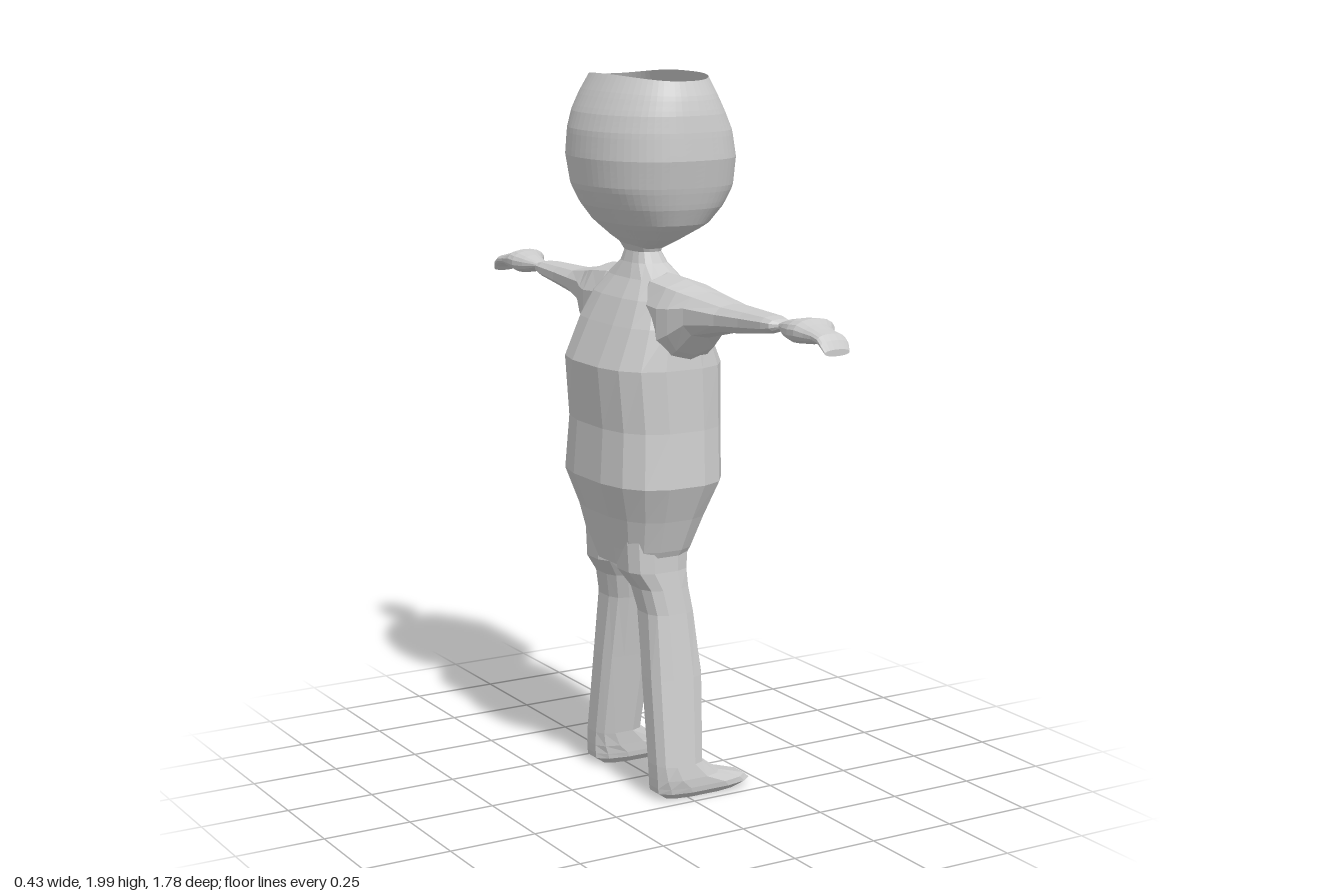
import * as THREE from 'three';

const grey = new THREE.MeshStandardMaterial({ color: 0xcccccc, flatShading: true });
const greyOpen = new THREE.MeshStandardMaterial({ color: 0xcccccc, flatShading: true, side: THREE.DoubleSide });

// signed power, used to square off an ellipse
const spow = (v, e) => Math.sign(v) * Math.pow(Math.abs(v), e);

function toGeometry(pos, index) {
  const g = new THREE.BufferGeometry();
  g.setAttribute('position', new THREE.Float32BufferAttribute(pos, 3));
  g.setIndex(index);
  g.computeVertexNormals();
  return g;
}

// Loft through rings [t, x0, x1, b0, b1], t ascending along the axis.
// Axis 'y': t = y, b = z. Axis 'z': t = z, b = y. side = -1 mirrors in z.
function loft(rings, { axis = 'y', sides = 12, e = 0.75, side = 1, capEnd = true }) {
  const pos = [], index = [];
  const put = (x, t, b) => (axis === 'y' ? pos.push(x, t, b * side) : pos.push(x, b, t * side));
  const flip = (axis === 'z') !== (side < 0);
  const tri = (a, b, c) => (flip ? index.push(a, c, b) : index.push(a, b, c));
  for (const [t, x0, x1, b0, b1] of rings) {
    for (let j = 0; j < sides; j++) {
      const a = ((j + 0.5) / sides) * Math.PI * 2;
      put((x0 + x1) / 2 + ((x1 - x0) / 2) * spow(Math.cos(a), e), t,
        (b0 + b1) / 2 + ((b1 - b0) / 2) * spow(Math.sin(a), e));
    }
  }
  const n = rings.length;
  for (let i = 0; i < n - 1; i++) {
    for (let j = 0; j < sides; j++) {
      const k = (j + 1) % sides;
      const a = i * sides + j, b = i * sides + k, c = b + sides, d = a + sides;
      tri(a, d, b);
      tri(b, d, c);
    }
  }
  // end caps as fans
  const cap = (i, top) => {
    const [t, x0, x1, b0, b1] = rings[i];
    const m = pos.length / 3;
    put((x0 + x1) / 2, t, (b0 + b1) / 2);
    for (let j = 0; j < sides; j++) {
      const a = i * sides + j, b = i * sides + ((j + 1) % sides);
      top ? tri(m, b, a) : tri(m, a, b);
    }
  };
  cap(0, false);
  if (capEnd) cap(n - 1, true);
  return toGeometry(pos, index);
}

// Open-topped shell with a rounded face opening towards +x
function headGeometry() {
  // y, back x, front x, half depth in z
  const rows = [
    [1.53, -0.06, 0.02, 0.065], [1.555, -0.09, 0.05, 0.12], [1.6, -0.14, 0.125, 0.185],
    [1.65, -0.18, 0.17, 0.21], [1.7, -0.207, 0.197, 0.225], [1.78, -0.218, 0.2, 0.242],
    [1.85, -0.212, 0.188, 0.238], [1.9, -0.197, 0.165, 0.232], [1.95, -0.172, 0.141, 0.22],
    [2.0, -0.143, 0.117, 0.2],
  ];
  const at = (y) => {
    let i = 0;
    while (i < rows.length - 2 && y > rows[i + 1][0]) i++;
    const f = (y - rows[i][0]) / (rows[i + 1][0] - rows[i][0]);
    return rows[i].map((v, k) => v + (rows[i + 1][k] - v) * f);
  };
  const eFront = 0.72, eBack = 0.92, holeY = 1.772, holeH = 0.083, holeW = 0.166;
  const cols = 64, steps = 32, pos = [], index = [], inside = [];
  for (let i = 0; i <= steps; i++) {
    for (let j = 0; j < cols; j++) {
      let y = 1.53 + (0.47 * i) / steps;
      let a = (j / cols) * Math.PI * 2;
      const front = Math.cos(a) > 1e-6;
      const z = at(y)[3] * spow(Math.sin(a), front ? eFront : eBack);
      const rho = Math.cbrt(Math.abs(z / holeW) ** 3 + Math.abs((y - holeY) / holeH) ** 3);
      const hit = front && rho < 1;
      inside.push(hit);
      if (hit) {
        // push points inside the opening out onto its rim
        const r = Math.max(rho, 0.05);
        y = holeY + (y - holeY) / r;
        const s = THREE.MathUtils.clamp(z / r / at(y)[3], -1, 1);
        a = Math.asin(spow(s, 1 / eFront));
      }
      const [, x0, x1, hz] = at(y), e = front ? eFront : eBack;
      const dip = 0.014 * Math.sin(a) ** 2 * Math.max(0, (y - 1.9) / 0.1);
      pos.push((x0 + x1) / 2 + ((x1 - x0) / 2) * spow(Math.cos(a), e), y - dip,
        0.006 + hz * spow(Math.sin(a), e));
    }
  }
  for (let i = 0; i < steps; i++) {
    for (let j = 0; j < cols; j++) {
      const k = (j + 1) % cols;
      const a = i * cols + j, b = i * cols + k, c = b + cols, d = a + cols;
      if (inside[a] && inside[b] && inside[c] && inside[d]) continue;
      index.push(a, d, b, b, d, c);
    }
  }
  return toGeometry(pos, index);
}

// ring tables, one limb of each pair
const torsoRings = [
  [0.66, -0.135, 0.055, -0.15, 0.15], [0.71, -0.145, 0.08, -0.175, 0.175],
  [0.8, -0.165, 0.115, -0.205, 0.205], [0.9, -0.2, 0.158, -0.245, 0.245],
  [1.05, -0.19, 0.16, -0.232, 0.232], [1.22, -0.205, 0.162, -0.228, 0.228],
  [1.33, -0.155, 0.115, -0.215, 0.215], [1.4, -0.12, 0.098, -0.185, 0.185],
  [1.45, -0.085, 0.06, -0.135, 0.135], [1.49, -0.068, 0.035, -0.075, 0.075],
  [1.52, -0.06, 0.02, -0.06, 0.06], [1.545, -0.075, 0.03, -0.07, 0.07],
];
const legRings = [
  [0.01, -0.06, 0.17, 0.135, 0.215], [0.03, -0.09, 0.212, 0.115, 0.238],
  [0.045, -0.092, 0.195, 0.113, 0.24], [0.07, -0.092, 0.11, 0.112, 0.24],
  [0.11, -0.092, 0.058, 0.11, 0.235], [0.35, -0.09, 0.075, 0.07, 0.203],
  [0.53, -0.085, 0.06, 0.038, 0.18], [0.6, -0.1, 0.05, 0.022, 0.172],
  [0.65, -0.135, 0.052, 0.004, 0.167], [0.74, -0.14, 0.06, 0.004, 0.165],
];
const armRings = [
  [0.04, -0.08, 0.06, 1.24, 1.46], [0.12, -0.1, 0.085, 1.23, 1.47],
  [0.2, -0.1, 0.095, 1.23, 1.462], [0.24, -0.09, 0.093, 1.262, 1.452],
  [0.29, -0.07, 0.09, 1.315, 1.438], [0.4, -0.043, 0.084, 1.342, 1.42],
  [0.5, -0.032, 0.072, 1.355, 1.418], [0.6, -0.028, 0.058, 1.37, 1.417],
  [0.63, -0.022, 0.05, 1.38, 1.412], [0.642, 0.0, 0.03, 1.388, 1.405],
];
const handRings = [
  [0.642, 0.002, 0.028, 1.39, 1.404], [0.66, -0.01, 0.035, 1.386, 1.41],
  [0.7, -0.028, 0.048, 1.372, 1.422], [0.74, -0.04, 0.065, 1.366, 1.43],
  [0.77, -0.04, 0.086, 1.368, 1.432], [0.8, -0.032, 0.062, 1.372, 1.422],
  [0.83, -0.028, 0.052, 1.378, 1.414], [0.86, -0.03, 0.055, 1.376, 1.407],
  [0.876, -0.03, 0.055, 1.367, 1.393], [0.888, -0.024, 0.05, 1.355, 1.372],
];

export function createModel() {
  const model = new THREE.Group();
  model.name = 'figure';
  const add = (name, geometry, material = grey) => {
    const mesh = new THREE.Mesh(geometry, material);
    mesh.name = name;
    model.add(mesh);
  };

  add('head', headGeometry(), greyOpen);
  add('torsoAndNeck', loft(torsoRings, { sides: 16, e: 0.72, capEnd: false }), greyOpen);

  // limbs, mirrored in z
  for (const [label, side] of [['A', 1], ['B', -1]]) {
    add('leg' + label, loft(legRings, { side, e: 0.7 }));
    add('arm' + label, loft(armRings, { axis: 'z', side, sides: 10, e: 0.85 }));
    add('hand' + label, loft(handRings, { axis: 'z', side, sides: 16, e: 0.9 }));
  }
  return model;
}
